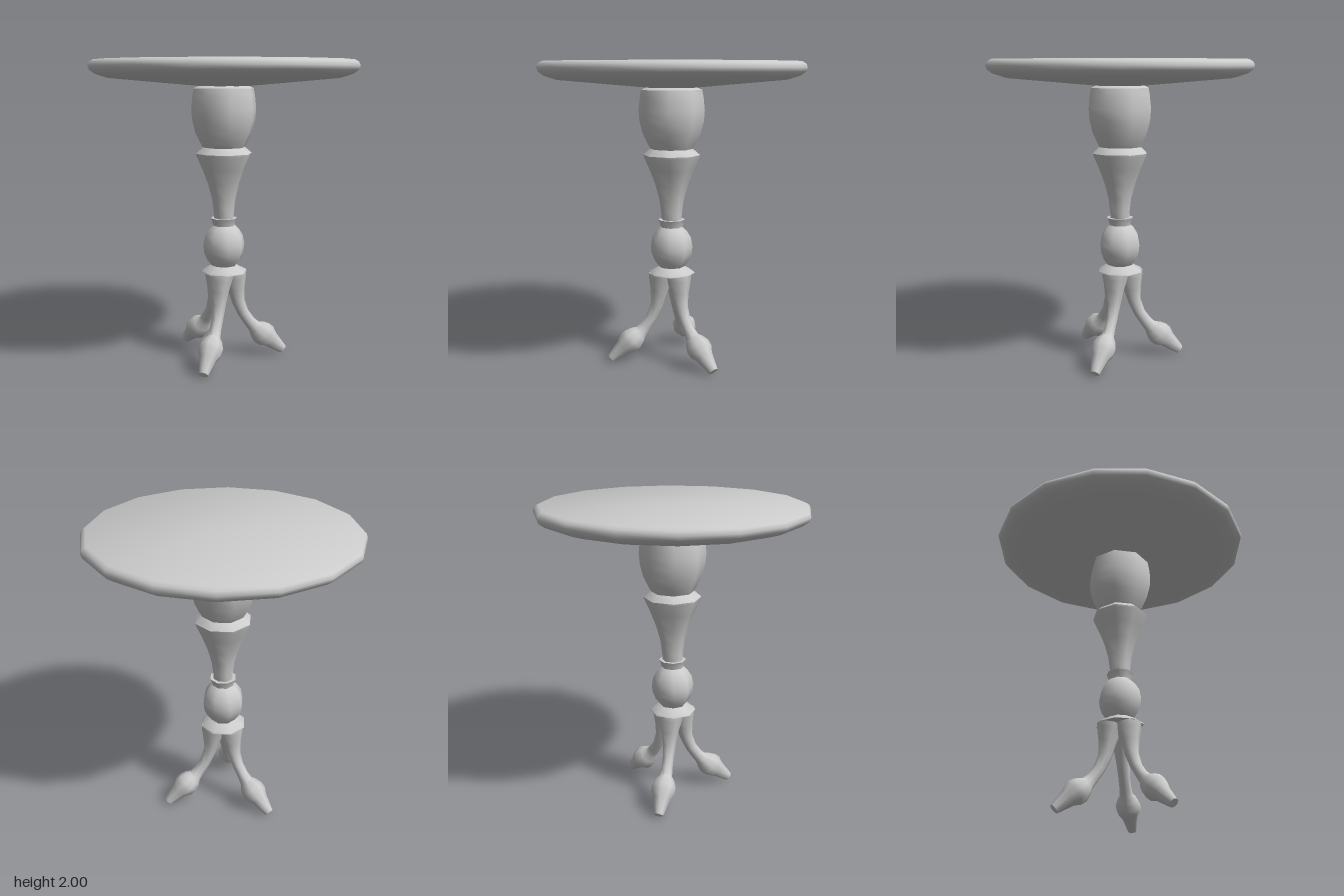
import * as THREE from 'three';
import { toCreasedNormals } from 'three/addons/utils/BufferGeometryUtils.js';

const material = new THREE.MeshStandardMaterial({ color: 0xcccccc });

function makeMesh(geometry, name) {
  const mesh = new THREE.Mesh(toCreasedNormals(geometry, 0.9), material);
  mesh.name = name;
  return mesh;
}

// Turned part: profile of [radius, y] from bottom to top
function turned(name, profile, sides) {
  const points = profile.map(([r, y]) => new THREE.Vector2(r, y));
  return makeMesh(new THREE.LatheGeometry(points, sides), name);
}

// Round rings of [x, y, radius] swept along a curve in the xy plane, capped at both ends
function legGeometry(stations, sides) {
  const positions = [];
  const index = [];
  const last = stations.length - 1;
  stations.forEach(([x, y, r], i) => {
    const a = stations[Math.max(i - 1, 0)];
    const b = stations[Math.min(i + 1, last)];
    const length = Math.hypot(b[0] - a[0], b[1] - a[1]);
    const nx = -(b[1] - a[1]) / length;
    const ny = (b[0] - a[0]) / length;
    for (let j = 0; j < sides; j++) {
      const t = (j / sides) * Math.PI * 2;
      const c = Math.cos(t) * r;
      positions.push(x + nx * c, y + ny * c, Math.sin(t) * r);
    }
  });
  for (let i = 0; i < last; i++) {
    for (let j = 0; j < sides; j++) {
      const k = (j + 1) % sides;
      const a = i * sides + j, b = i * sides + k;
      index.push(a, b, a + sides, b, b + sides, a + sides);
    }
  }
  for (let j = 1; j < sides - 1; j++) {
    index.push(0, j + 1, j);
    const e = last * sides;
    index.push(e, e + j, e + j + 1);
  }
  const geometry = new THREE.BufferGeometry();
  geometry.setAttribute('position', new THREE.Float32BufferAttribute(positions, 3));
  geometry.setIndex(index);
  geometry.computeVertexNormals();
  return geometry;
}

export function createModel() {
  const group = new THREE.Group();
  group.name = 'pedestalTable';

  // Round top with a rolled rim and a shallow conical underside
  group.add(turned('tableTop', [
    [0, 1.82], [0.74, 1.885], [0.82, 1.91], [0.855, 1.935], [0.865, 1.96],
    [0.855, 1.985], [0.83, 2], [0, 2],
  ], 16));

  // Vase-shaped upper column with its collar
  group.add(turned('upperColumn', [
    [0, 0.96], [0.065, 0.96], [0.07, 1.02], [0.08, 1.1], [0.107, 1.2], [0.145, 1.3],
    [0.183, 1.385], [0.187, 1.4], [0.14, 1.44], [0.157, 1.47], [0.19, 1.54],
    [0.21, 1.62], [0.215, 1.69], [0.207, 1.77], [0.198, 1.82], [0.16, 1.838], [0, 1.838],
  ], 8));

  // Lower bulb between two flared rings
  group.add(turned('lowerBulb', [
    [0, 0.6], [0.155, 0.605], [0.15, 0.615], [0.1, 0.64], [0.085, 0.65], [0.115, 0.69],
    [0.135, 0.74], [0.14, 0.79], [0.128, 0.85], [0.1, 0.895], [0.073, 0.92],
    [0.078, 0.945], [0.09, 0.97], [0, 0.97],
  ], 8));

  // Three curved legs, each ending in a bulbous tapered foot
  const geometry = legGeometry([
    [0.068, 0.595, 0.088], [0.074, 0.56, 0.08], [0.085, 0.48, 0.059], [0.1, 0.39, 0.044],
    [0.135, 0.305, 0.038], [0.18, 0.24, 0.039], [0.21, 0.205, 0.045], [0.232, 0.185, 0.065],
    [0.265, 0.155, 0.082], [0.297, 0.13, 0.08], [0.33, 0.102, 0.058], [0.415, 0.026, 0.032],
  ], 8);
  for (let i = 0; i < 3; i++) {
    const leg = makeMesh(geometry, 'leg' + (i + 1));
    leg.rotation.y = (i * Math.PI * 2) / 3;
    group.add(leg);
  }
  return group;
}
